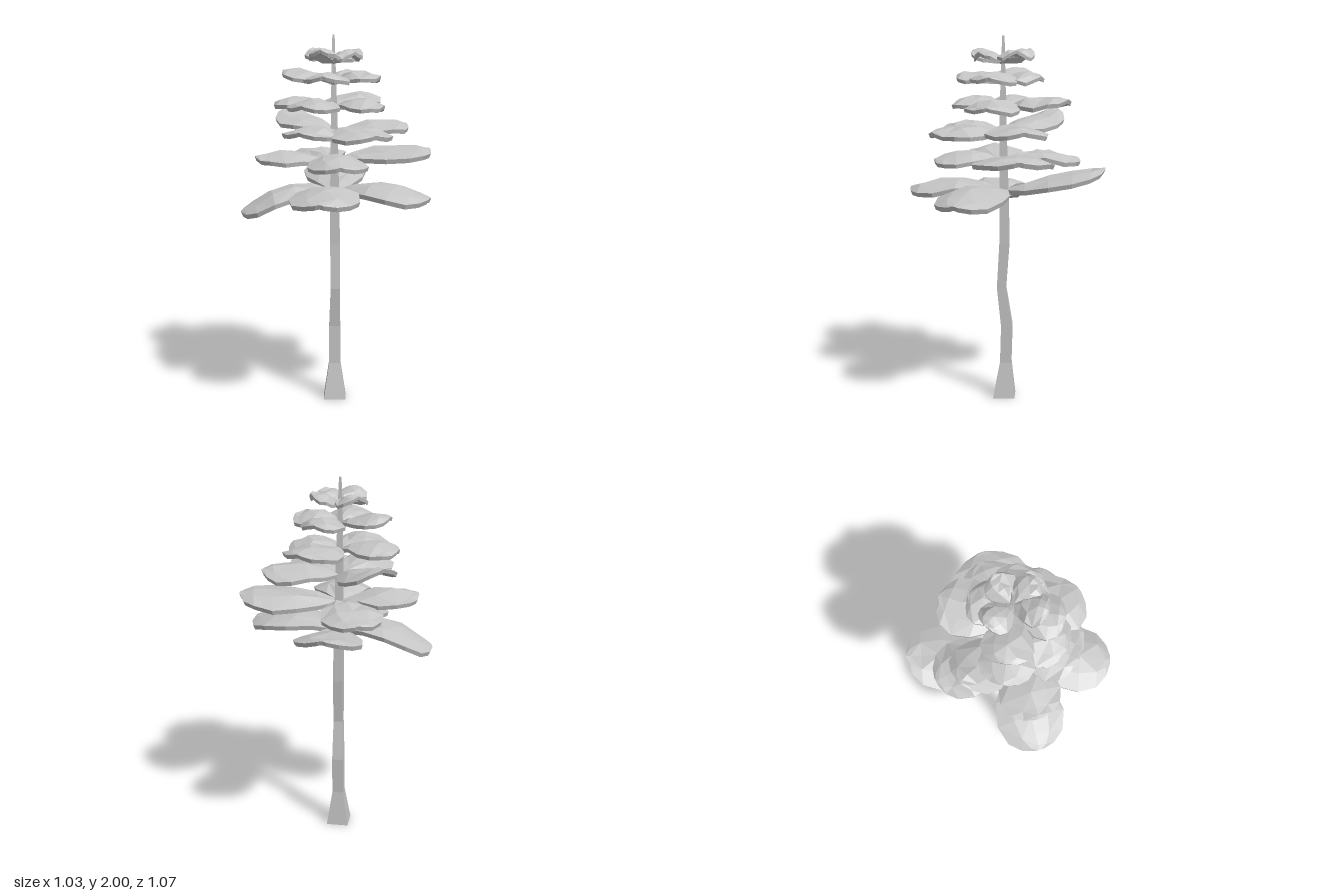
import * as THREE from 'three';

const V = (x, y, z) => new THREE.Vector3(x, y, z);
const bark = new THREE.MeshStandardMaterial({ color: 0xc4c4c4, flatShading: true });
bark.name = 'plain grey';

// Small seeded generator, gives -1..1
let seed = 7;
const rnd = () => {
  seed = (seed * 16807) % 2147483647;
  return (seed / 2147483647) * 2 - 1;
};

function meshFrom(points, index, name) {
  const g = new THREE.BufferGeometry().setFromPoints(points);
  g.setIndex(index);
  const flat = g.toNonIndexed();
  flat.computeVertexNormals();
  const m = new THREE.Mesh(flat, bark);
  m.name = name;
  return m;
}

// Tapered four-sided limb; a x b must point along the path
function limb(path, radii, a, b, name) {
  const pts = [], idx = [];
  path.forEach((p, i) => {
    for (const [k, l] of [[1, 1], [-1, 1], [-1, -1], [1, -1]])
      pts.push(p.clone().addScaledVector(a, k * radii[i]).addScaledVector(b, l * radii[i]));
  });
  for (let i = 0; i < path.length - 1; i++)
    for (let j = 0; j < 4; j++) {
      const p = i * 4 + j, q = i * 4 + (j + 1) % 4;
      idx.push(p, q, q + 4, p, q + 4, p + 4);
    }
  const e = (path.length - 1) * 4;
  idx.push(0, 2, 1, 0, 3, 2, e, e + 1, e + 2, e, e + 2, e + 3);
  return meshFrom(pts, idx, name);
}

// Leaf pad outline: [distance along, half width]
const rows = [[0.02, 0.1], [0.22, 0.5], [0.45, 0.88], [0.68, 1], [0.86, 0.82], [0.96, 0.48], [1, 0.12]];
const cols = [-1, -0.5, 0, 0.5, 1];

function bough(tipX, tipZ, tipY, rootY, halfWidth) {
  const group = new THREE.Group();
  group.name = 'bough';
  const root = V(-0.015, rootY, 0.02);
  const d = V(tipX - root.x, 0, tipZ - root.z);
  const len = d.length();
  d.normalize();
  const s = V(d.z, 0, -d.x), up = V(0, 1, 0);
  const rise = tipY - rootY, thick = 0.014 + 0.02 * len;
  const arch = 0.03 + 0.045 * len - 0.3 * rise;
  const ridge = u => rootY + rise * u + arch * Math.sin(Math.PI * u);
  const at = (u, v, y) => V(root.x, y, root.z).addScaledVector(d, u * len).addScaledVector(s, v);

  // Arched pad: top sheet, underside, rim
  const top = [], under = [], idx = [], R = rows.length, C = cols.length, N = R * C;
  rows.forEach(([u, w], i) => cols.forEach(v => {
    const bump = i > 0 && i < R - 2 ? 0.01 * rnd() : 0;
    const y = ridge(u) - (0.034 + 0.02 * len) * v * v * w + bump;
    top.push(at(u, v * w * halfWidth, y));
    under.push(at(0.02 + u * 0.96, v * w * halfWidth * 0.96, y - thick));
  }));
  for (let i = 0; i < R - 1; i++)
    for (let j = 0; j < C - 1; j++) {
      const a = i * C + j, b = a + C, c = b + 1, e = a + 1;
      if ((i + j) % 2) idx.push(a, b, c, a, c, e, N + a, N + c, N + b, N + a, N + e, N + c);
      else idx.push(a, b, e, b, c, e, N + a, N + e, N + b, N + b, N + e, N + c);
    }
  const loop = [];
  for (let i = 0; i < R; i++) loop.push(i * C);
  for (let j = 1; j < C; j++) loop.push((R - 1) * C + j);
  for (let i = R - 2; i >= 0; i--) loop.push(i * C + C - 1);
  for (let j = C - 2; j > 0; j--) loop.push(j);
  loop.forEach((p, k) => {
    const q = loop[(k + 1) % loop.length];
    idx.push(N + p, N + q, q, N + p, q, p);
  });
  group.add(meshFrom([...top, ...under], idx, 'leafPad'));

  // Bent branch beneath the pad, with one side twig
  const r = 0.004 + 0.012 * len;
  const below = (u, v, drop) => at(u, v, ridge(u) - thick - drop);
  group.add(limb([V(root.x, rootY - 0.05 * len - 0.01, root.z), below(0.25, 0.02 * len, r),
    below(0.5, -0.04 * len, r), below(0.78, 0.02 * len, r * 0.6)],
    [r * 1.1, r, r * 0.8, r * 0.25], s, up, 'branch'));
  group.add(limb([below(0.3, 0, r), below(0.5, 0.12 * len, r + 0.008), below(0.7, 0.2 * len, r + 0.015)],
    [r * 0.7, r * 0.6, r * 0.2], s, up, 'twig'));
  return group;
}

// Tiers: root height, then boughs as [tip x, tip z, tip y, half width]
const tiers = [
  [1.175, [[-0.005, -0.535, 1.3, 0.18], [-0.085, 0.53, 1.18, 0.185], [-0.51, 0.11, 1.075, 0.18], [0.485, 0.24, 1.165, 0.19]]],
  [1.335, [[0.508, -0.09, 1.39, 0.215], [-0.43, 0.11, 1.37, 0.16], [-0.17, -0.39, 1.335, 0.165], [0.02, 0.39, 1.345, 0.16]]],
  [1.485, [[0.38, -0.11, 1.525, 0.17], [0.2, 0.375, 1.505, 0.175], [-0.28, -0.265, 1.6, 0.155], [-0.19, 0.33, 1.515, 0.165]]],
  [1.625, [[0.15, -0.33, 1.675, 0.16], [-0.33, -0.06, 1.645, 0.14], [-0.18, 0.265, 1.645, 0.15], [0.25, 0.09, 1.635, 0.155]]],
  [1.765, [[-0.285, -0.05, 1.815, 0.13], [0.09, -0.185, 1.79, 0.125], [0.23, 0.08, 1.79, 0.13], [-0.07, 0.265, 1.795, 0.125]]],
  [1.87, [[-0.13, -0.125, 1.93, 0.09], [0.125, -0.06, 1.925, 0.085], [-0.085, 0.18, 1.925, 0.09], [0.095, 0.14, 1.915, 0.085]]],
];

export function createModel() {
  const tree = new THREE.Group();
  tree.name = 'tree';

  // Crooked square trunk: [x, y, z, half width]
  const spine = [[-0.01, 0, 0.012, 0.06], [-0.01, 0.2, 0.003, 0.031], [-0.01, 0.41, -0.003, 0.031],
    [-0.007, 0.63, 0.026, 0.025], [-0.008, 0.88, 0.01, 0.027], [-0.01, 1.1, 0.012, 0.025],
    [-0.012, 1.5, 0.018, 0.019], [-0.015, 1.8, 0.018, 0.012], [-0.016, 2, 0.016, 0.006]];
  tree.add(limb(spine.map(p => V(p[0], p[1], p[2])), spine.map(p => p[3]), V(0, 0, 1), V(1, 0, 0), 'trunk'));

  // Boughs, tier by tier
  tiers.forEach(([rootY, boughs], i) => {
    const tier = new THREE.Group();
    tier.name = 'tier' + (i + 1);
    for (const [x, z, y, w] of boughs) tier.add(bough(x, z, y, rootY, w));
    tree.add(tier);
  });
  return tree;
}
